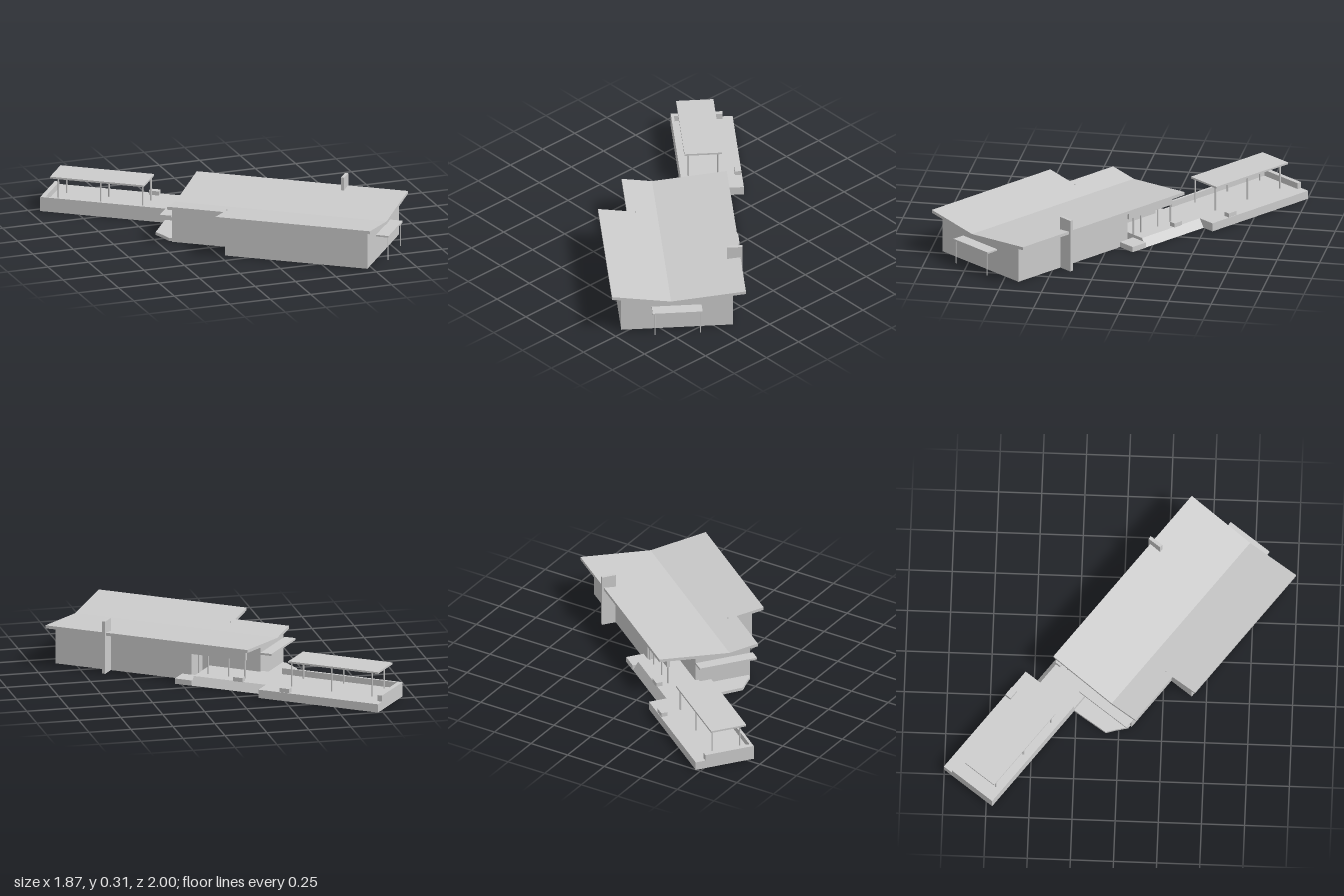
import * as THREE from 'three';

const material = new THREE.MeshStandardMaterial({ color: 0xcccccc, flatShading: true });

// Butterfly roof heights across the house (v runs from back to front).
const VALLEY = 0.175, THICK = 0.018;
const roofTop = v => 0.2 + (v < VALLEY ? (VALLEY - v) * 0.104 : (v - VALLEY) * 0.146);
const roofUnder = v => roofTop(v) - THICK;

export function createModel() {
  const model = new THREE.Group();
  // The house stands at an angle: local x runs along it, local z across it.
  const house = new THREE.Group();
  house.name = 'house';
  house.rotation.y = -Math.atan2(0.6, 0.8);
  model.add(house);

  const add = (name, geometry) => {
    const mesh = new THREE.Mesh(geometry, material);
    mesh.name = name;
    house.add(mesh);
    return mesh;
  };

  // Box given by its limits along u (length), y (height) and v (width).
  const box = (name, u0, u1, y0, y1, v0, v1) => {
    const mesh = add(name, new THREE.BoxGeometry(u1 - u0, y1 - y0, v1 - v0));
    mesh.position.set((u0 + u1) / 2, (y0 + y1) / 2, (v0 + v1) / 2);
    return mesh;
  };

  // Cross-section of [v, y] points drawn out from u0 to u1.
  const prism = (name, u0, u1, section) => {
    const shape = new THREE.Shape(section.map(([v, y]) => new THREE.Vector2(-v, y)));
    const geometry = new THREE.ExtrudeGeometry(shape, { depth: u1 - u0, bevelEnabled: false });
    geometry.rotateY(Math.PI / 2).translate(u0, 0, 0);
    return add(name, geometry);
  };

  const post = (name, u, v, y0, y1, r = 0.005) => {
    const mesh = add(name, new THREE.CylinderGeometry(r, r, y1 - y0, 8));
    mesh.position.set(u, (y0 + y1) / 2, v);
  };

  // Roof: a long strip, wider towards the far end
  const roof = (u0, u1, v0, v1) => prism('roof', u0, u1, [
    [v0, roofUnder(v0)], [VALLEY, roofUnder(VALLEY)], [v1, roofUnder(v1)],
    [v1, roofTop(v1)], [VALLEY, roofTop(VALLEY)], [v0, roofTop(v0)],
  ]);
  roof(-0.307, 0.034, -0.26, 0.351);
  roof(0.034, 0.966, -0.26, 0.518);
  post('roofVent', 0.04, 0.3, 0.2, 0.226, 0.003);

  // Walled volumes reaching up to the underside of the roof
  const walls = (name, u0, u1, v0, v1) => prism(name, u0, u1, [
    [v0, 0], [v1, 0], [v1, roofUnder(v1)], [VALLEY, roofUnder(VALLEY)], [v0, roofUnder(v0)],
  ]);
  walls('mainWalls', 0.075, 0.934, -0.188, 0.462);
  walls('endWalls', -0.29, 0.075, -0.03, 0.31);

  // Chimney fin at the back
  box('chimney', 0.584, 0.604, 0, 0.315, -0.272, -0.186);

  // Porch canopy with two posts on the far end
  box('endCanopy', 0.934, 1.01, 0.14, 0.15, -0.005, 0.285);
  for (const v of [0.008, 0.272]) post('canopyPost', 1.002, v, 0, 0.141, 0.003);

  // Canopy over the near end
  box('sideCanopy', -0.358, -0.29, 0.152, 0.164, -0.028, 0.326);

  // Covered porch at the back: beam and posts
  box('porchBeam', -0.27, 0.075, 0.16, roofUnder(-0.188) + 0.002, -0.198, -0.18);
  for (const u of [-0.262, -0.16, -0.03, 0.03]) post('porchPost', u, -0.189, 0.05, 0.162);

  // Porch deck with a sloped back edge, and a step at its end
  prism('porchDeck', -0.426, 0.03, [[-0.294, 0], [-0.01, 0], [-0.01, 0.05], [-0.262, 0.05]]);
  box('deckStep', 0.03, 0.135, 0, 0.032, -0.296, -0.185);

  // Low paving with a cut corner beside the end wall
  const paving = new THREE.Shape([
    [-0.425, 0.014], [-0.28, 0.014], [-0.28, -0.3], [-0.31, -0.3], [-0.36, -0.258], [-0.415, -0.217],
  ].map(p => new THREE.Vector2(...p)));
  add('paving', new THREE.ExtrudeGeometry(paving, { depth: 0.018, bevelEnabled: false }).rotateX(-Math.PI / 2));

  // Terrace with low parapets on its outer sides
  box('terrace', -1.178, -0.425, 0, 0.05, -0.37, -0.01);
  box('frontParapet', -1.178, -0.425, 0.05, 0.086, -0.026, -0.01);
  box('endParapet', -1.178, -1.15, 0.05, 0.086, -0.31, -0.01);

  // Pavilion on the terrace
  box('pavilionRoof', -1.127, -0.562, 0.195, 0.206, -0.254, -0.037);
  for (const u of [-1.083, -0.828, -0.575])
    for (const v of [-0.06, -0.232]) post('pavilionPost', u, v, 0.05, 0.196);

  // Planter boxes on the decks
  for (const [u, v] of [[-0.586, -0.348], [-0.25, -0.25]])
    box('planter', u - 0.03, u + 0.03, 0.05, 0.075, v - 0.019, v + 0.019);

  return model;
}
